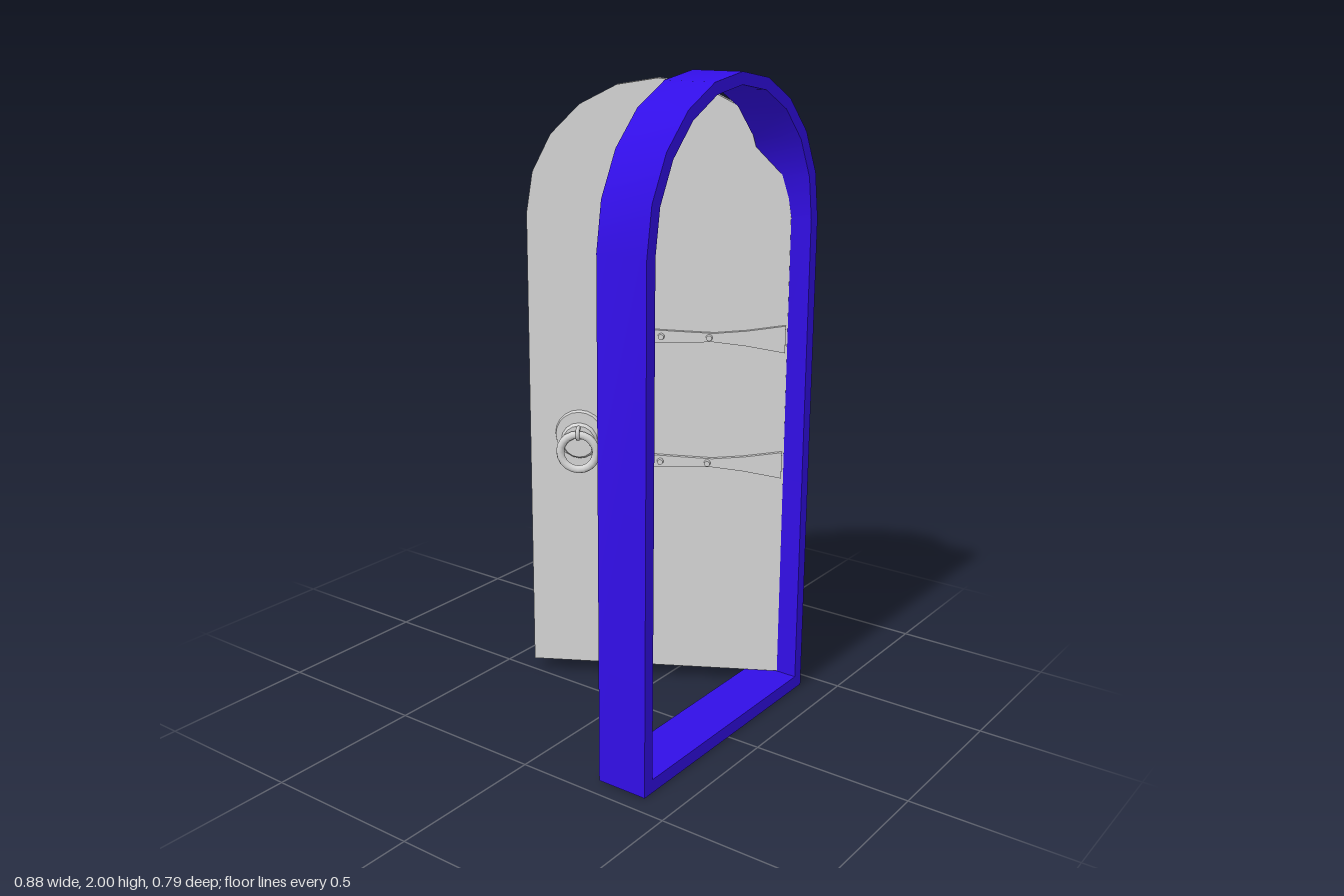
import * as THREE from 'three';
import { toCreasedNormals } from 'three/addons/utils/BufferGeometryUtils.js';

// Round-topped outline: straight sides, then a half ellipse in ten steps
function archPoints(halfWidth, bottom, spring, top) {
  const points = [new THREE.Vector2(-halfWidth, bottom), new THREE.Vector2(halfWidth, bottom)];
  for (let i = 0; i <= 10; i++) {
    const a = (i / 10) * Math.PI;
    points.push(new THREE.Vector2(Math.cos(a) * halfWidth, spring + Math.sin(a) * (top - spring)));
  }
  return points;
}

function extrude(shape, depth) {
  const geometry = new THREE.ExtrudeGeometry(shape, { depth, bevelEnabled: false });
  return toCreasedNormals(geometry, 0.5);
}

export function createModel() {
  const blue = new THREE.MeshStandardMaterial({ color: 0x320ee6 });
  blue.name = 'blue paint';
  const grey = new THREE.MeshStandardMaterial({ color: 0xd6d6d6 });
  grey.name = 'light grey';

  const model = new THREE.Group();
  model.name = 'archedDoor';

  function add(parent, name, geometry, material, x = 0, y = 0, z = 0) {
    const mesh = new THREE.Mesh(geometry, material);
    mesh.name = name;
    mesh.position.set(x, y, z);
    parent.add(mesh);
    return mesh;
  }

  // Door frame with sill
  const frameShape = new THREE.Shape(archPoints(0.438, 0, 1.55, 2));
  frameShape.holes.push(new THREE.Path(archPoints(0.4, 0.042, 1.55, 1.965)));
  add(model, 'doorFrame', extrude(frameShape, 0.163), blue, 0, 0, 0.231);

  // Door swung open by 60 degrees; its local +x end is hinged
  const door = new THREE.Group();
  door.name = 'door';
  door.position.set(0.21, 0, -0.034);
  door.rotation.y = -Math.PI / 3;
  model.add(door);
  const leaf = new THREE.Shape(archPoints(0.406, 0.045, 1.55, 1.96));
  add(door, 'doorLeaf', extrude(leaf, 0.04), grey, 0, 0, -0.02);

  // Strap profile: pointed tip, narrow waist, flared hinge end
  const half = [[-0.05, 0.017], [0, 0.02], [0.05, 0.018], [0.18, 0.014], [0.28, 0.024], [0.4, 0.043]];
  const strapShape = new THREE.Shape([
    new THREE.Vector2(-0.085, 0),
    ...half.map(([x, y]) => new THREE.Vector2(x, -y)),
    ...half.slice().reverse().map(([x, y]) => new THREE.Vector2(x, y)),
  ]);
  const strap = extrude(strapShape, 0.014);
  const rivet = new THREE.CylinderGeometry(0.009, 0.011, 0.014, 10).rotateX(Math.PI / 2);

  for (const y of [0.765, 1.174]) {
    add(door, 'frontStrap', strap, grey, 0, y, 0.019);
    add(door, 'backStrap', strap, grey, 0, y, -0.03);
    for (const x of [0.015, 0.165]) add(door, 'strapRivet', rivet, grey, x, y, 0.038);
  }

  // Ring handles on both faces
  const plate = new THREE.CylinderGeometry(0.076, 0.08, 0.017, 20).rotateX(Math.PI / 2);
  const boss = new THREE.CylinderGeometry(0.052, 0.06, 0.014, 16).rotateX(Math.PI / 2);
  const ring = new THREE.TorusGeometry(0.058, 0.013, 8, 20);
  const staple = new THREE.TorusGeometry(0.018, 0.007, 6, 10).rotateY(Math.PI / 2);
  for (const side of [1, -1]) {
    const handle = new THREE.Group();
    handle.name = side > 0 ? 'frontHandle' : 'backHandle';
    handle.position.x = -0.245;
    handle.rotation.y = side > 0 ? 0 : Math.PI;
    door.add(handle);
    add(handle, 'handlePlate', plate, grey, 0, 0.843, 0.027);
    add(handle, 'handleBoss', boss, grey, 0, 0.825, 0.041);
    add(handle, 'pullRing', ring, grey, 0, 0.795, 0.064);
    add(handle, 'ringStaple', staple, grey, 0, 0.856, 0.058);
  }

  return model;
}
